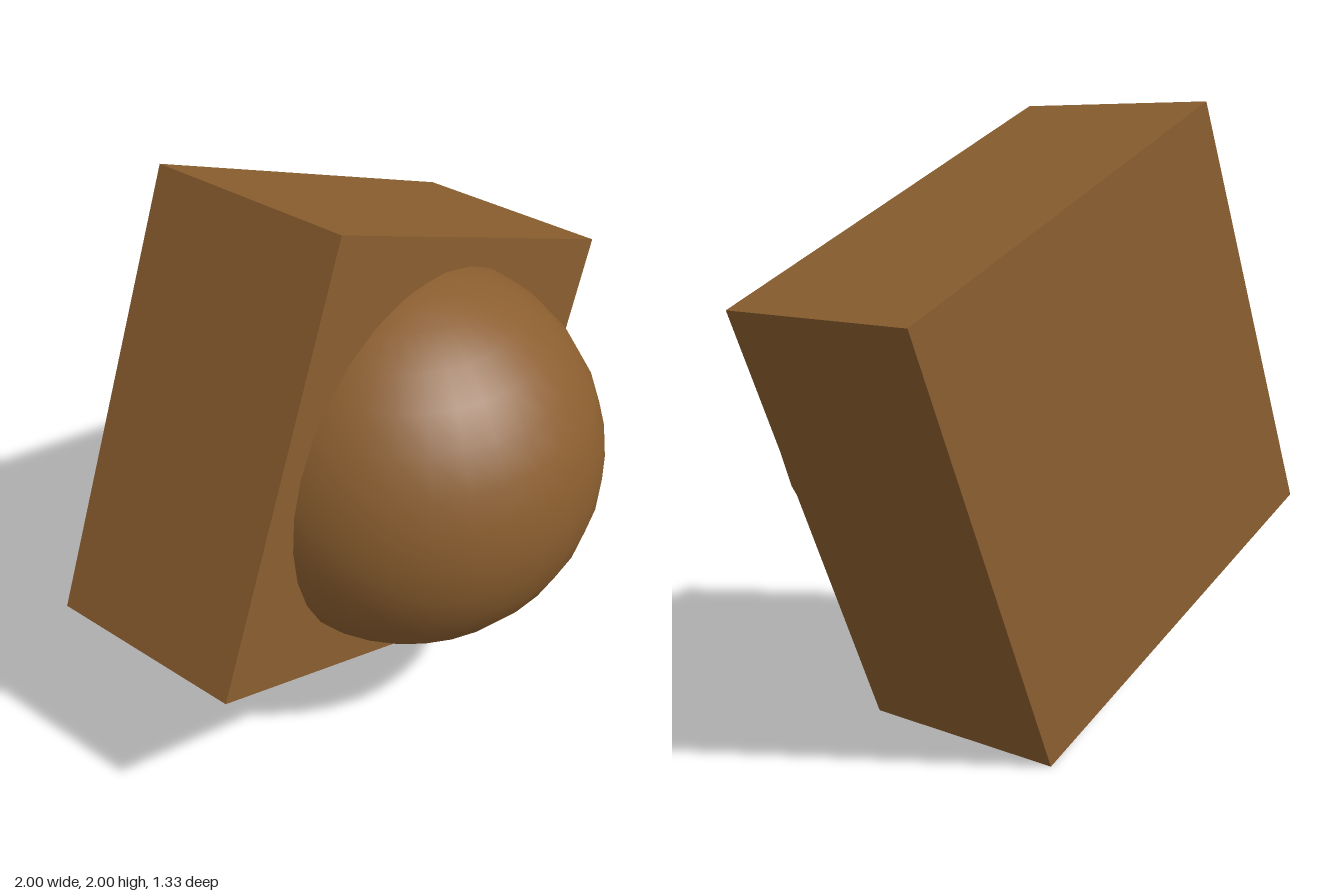
import * as THREE from 'three';

export function createModel() {
  const model = new THREE.Group();
  const brown = new THREE.MeshStandardMaterial({ color: 0x8b5e2f });
  brown.name = 'brown';

  // Square block, tilted clockwise as seen from the front
  const block = new THREE.Mesh(new THREE.BoxGeometry(1.515, 1.515, 0.73), brown);
  block.name = 'block';
  block.position.set(0, 1, -0.3);
  block.rotation.z = -Math.atan2(0.615, 1.385);
  model.add(block);

  // Ball half sunk into the front of the block
  const ball = new THREE.Mesh(new THREE.SphereGeometry(0.665, 32, 16), brown);
  ball.name = 'ball';
  ball.position.set(0, 1, 0);
  model.add(ball);

  return model;
}
